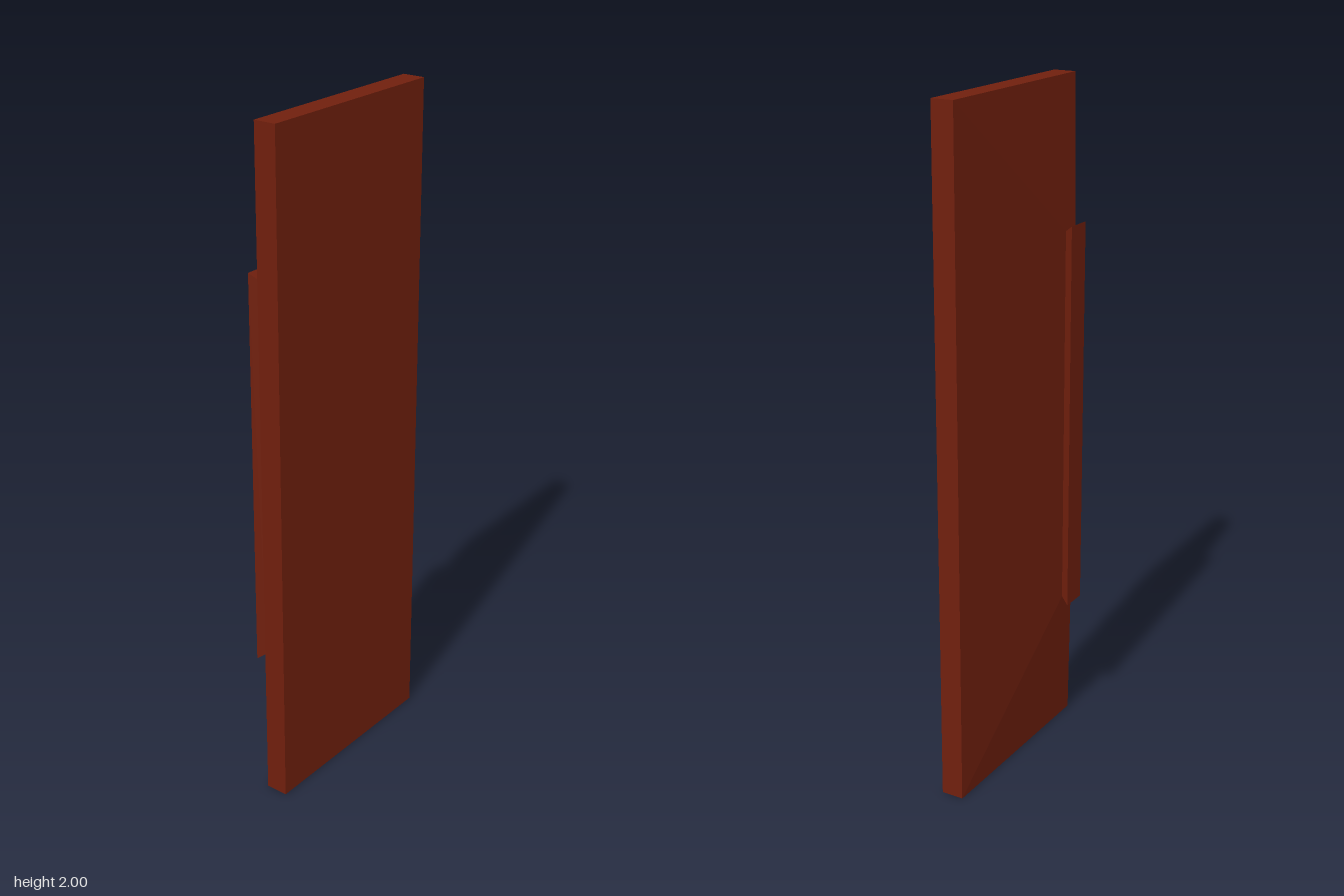
import * as THREE from 'three';

// Closed solid through rectangular rings [x, yMin, yMax, zMin, zMax], listed from +x to -x
function loftRings(rings) {
  const loops = rings.map(([x, y0, y1, z0, z1]) => [[x, y0, z0], [x, y0, z1], [x, y1, z1], [x, y1, z0]]);
  const positions = [];
  const quad = (a, b, c, d) => positions.push(...a, ...b, ...c, ...a, ...c, ...d);
  const first = loops[0];
  const last = loops[loops.length - 1];
  quad(first[3], first[2], first[1], first[0]);
  for (let r = 0; r < loops.length - 1; r++) {
    for (let i = 0; i < 4; i++) {
      const j = (i + 1) % 4;
      quad(loops[r][i], loops[r][j], loops[r + 1][j], loops[r + 1][i]);
    }
  }
  quad(...last);
  const geometry = new THREE.BufferGeometry();
  geometry.setAttribute('position', new THREE.Float32BufferAttribute(positions, 3));
  geometry.computeVertexNormals();
  return geometry;
}

export function createModel() {
  const group = new THREE.Group();
  group.name = 'door';
  const material = new THREE.MeshStandardMaterial({ color: 0x701f0d, flatShading: true });

  const add = (name, rings) => {
    const mesh = new THREE.Mesh(loftRings(rings), material);
    mesh.name = name;
    group.add(mesh);
  };

  // Flat slab whose inner face rises to the base of the handle
  add('doorPanel', [
    [0.06, 0, 2, -0.315, 0.315],
    [-0.007, 0, 2, -0.315, 0.315],
    [-0.034, 0.432, 1.568, 0.221, 0.276],
  ]);

  // Long handle flaring outwards from its base
  add('handle', [
    [-0.034, 0.432, 1.568, 0.221, 0.276],
    [-0.06, 0.413, 1.587, 0.208, 0.289],
  ]);

  return group;
}
